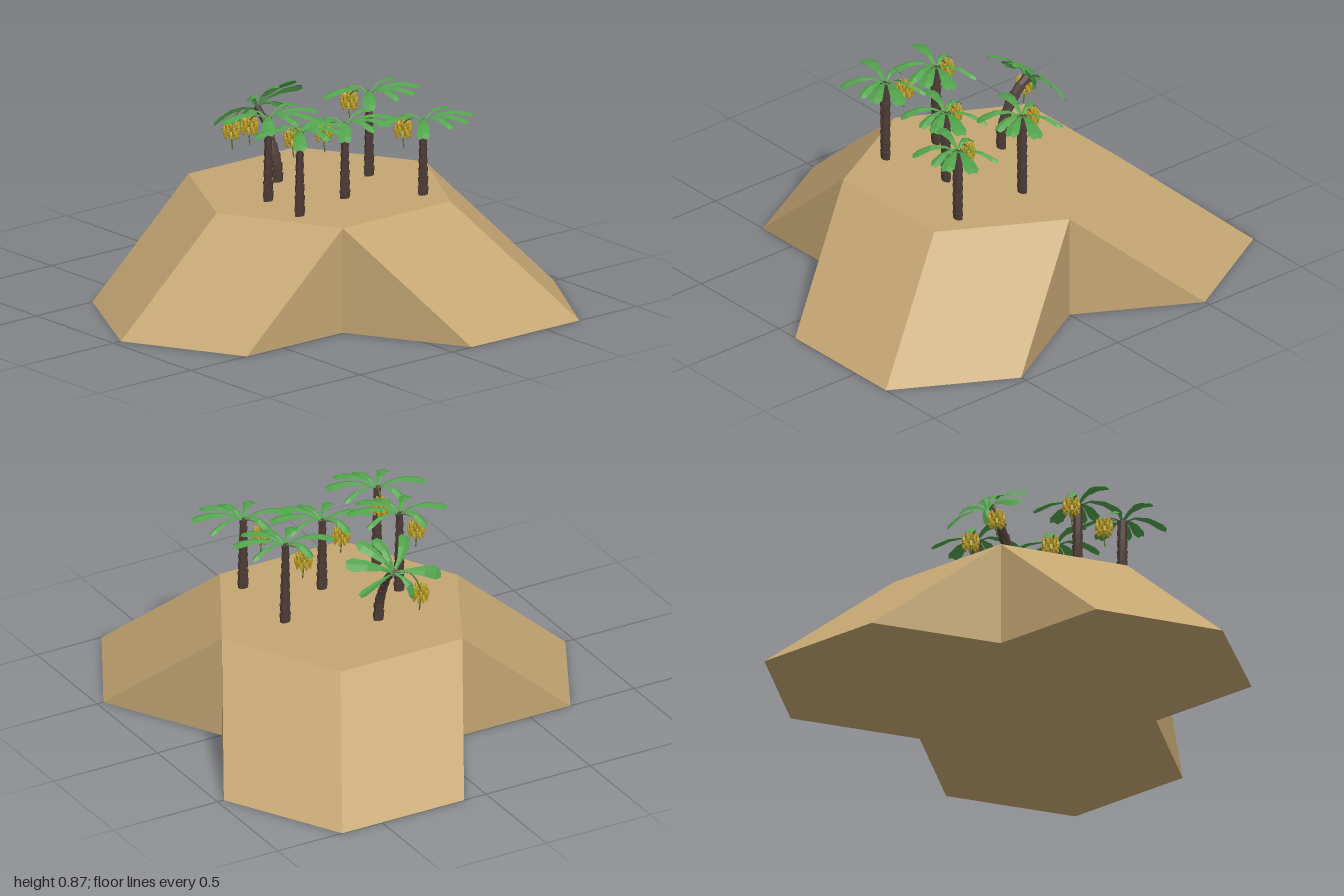
import * as THREE from 'three';
import { mergeGeometries } from 'three/addons/utils/BufferGeometryUtils.js';

const sand = new THREE.MeshStandardMaterial({ name: 'sand', color: 0xc4a672, flatShading: true });
const bark = new THREE.MeshStandardMaterial({ name: 'bark', color: 0x4f3d37, flatShading: true });
const leafGreen = new THREE.MeshStandardMaterial({ name: 'leafGreen', color: 0x52a34c, flatShading: true, side: THREE.DoubleSide });
const fruitYellow = new THREE.MeshStandardMaterial({ name: 'fruitYellow', color: 0xb89d26, flatShading: true });
const stemGreen = new THREE.MeshStandardMaterial({ name: 'stemGreen', color: 0x5d7030, flatShading: true });

const GROUND = 0.455;

function fromTriangles(points) {
  const g = new THREE.BufferGeometry().setFromPoints(points);
  g.computeVertexNormals();
  return g;
}

function addMesh(parent, geometry, material, name) {
  const mesh = new THREE.Mesh(geometry, material);
  mesh.name = name;
  parent.add(mesh);
  return mesh;
}

// Six-sided plateau with three sloping lobes
function islandGeometry() {
  const hex = [[0, 0.44], [0.5, 0.175], [0.5, -0.41], [0, -0.69], [-0.5, -0.41], [-0.5, 0.175]];
  const slopes = [[0, 0.52], [0.5, -0.28], [-0.5, -0.28]];
  const top = hex.map(([x, z]) => new THREE.Vector3(x, GROUND, z));
  const under = hex.map(([x, z]) => new THREE.Vector3(x, 0, z));
  const pts = [];
  const quad = (a, b, c, d) => pts.push(a, b, c, a, c, d);
  for (let i = 1; i < 5; i++) {
    pts.push(top[0], top[i], top[i + 1]);
    pts.push(under[0], under[i + 1], under[i]);
  }
  slopes.forEach(([dx, dz], k) => {
    const [p, m, q] = [(2 * k + 5) % 6, 2 * k, 2 * k + 1];
    const foot = i => new THREE.Vector3(hex[i][0] + dx, 0, hex[i][1] + dz);
    quad(foot(p), foot(m), top[m], top[p]);
    quad(foot(m), foot(q), top[q], top[m]);
    pts.push(under[p], foot(p), top[p], foot(q), under[q], top[q]);
    quad(under[p], under[m], foot(m), foot(p));
    quad(under[m], under[q], foot(q), foot(m));
  });
  return fromTriangles(pts);
}

// Arched blade with a raised midrib and a blunt end
function leafGeometry(x, z, width, tip) {
  const rows = [[0, 0.005, 0], [0.3, 0.012, 0.028], [0.6, 0.024, 0.035], [0.88, 0.031, 0.024], [1, 0.017, 0.012]];
  const length = Math.hypot(x, z);
  const sx = -z / length, sz = x / length;
  const sections = rows.map(([t, w, rise]) => {
    const y = rise + tip * t * t;
    return [-1, 0, 1].map(s => new THREE.Vector3(
      x * t + s * sx * w * width,
      y - Math.abs(s) * w * 0.35,
      z * t + s * sz * w * width));
  });
  const pts = [];
  for (let i = 0; i < sections.length - 1; i++) {
    const a = sections[i], b = sections[i + 1];
    for (let j = 0; j < 2; j++) pts.push(a[j], a[j + 1], b[j + 1], a[j], b[j + 1], b[j]);
  }
  return fromTriangles(pts);
}

// Stack of flared bark rings following a curve
function trunkGeometry(curve, count) {
  const up = new THREE.Vector3(0, 1, 0);
  const rings = [];
  for (let i = 0; i < count; i++) {
    const a = curve.getPointAt(i / count), b = curve.getPointAt((i + 1) / count);
    const dir = b.clone().sub(a);
    const r = 0.0185 - 0.003 * i / count;
    const g = new THREE.CylinderGeometry(r, r * 0.82, dir.length() * 1.15, 7);
    g.scale(1, 1, 1.45);
    g.rotateY(i * 0.1);
    g.applyQuaternion(new THREE.Quaternion().setFromUnitVectors(up, dir.normalize()));
    g.translate((a.x + b.x) / 2, (a.y + b.y) / 2, (a.z + b.z) / 2);
    rings.push(g);
  }
  return mergeGeometries(rings);
}

// Tiers of short upturned fruits around a core
function bunchGeometry() {
  const fruits = [];
  for (let tier = 0; tier < 3; tier++) {
    const count = 8;
    for (let i = 0; i < count; i++) {
      const g = new THREE.SphereGeometry(1, 5, 4);
      g.scale(0.009, 0.02, 0.009);
      g.rotateZ(0.3 - tier * 0.3);
      g.translate(tier === 1 ? 0.032 : 0.025, (tier - 1) * 0.017, 0);
      g.rotateY((i + tier * 0.5) / count * Math.PI * 2);
      fruits.push(g);
    }
  }
  return mergeGeometries(fruits);
}

const LEAVES = [ // x, z, width, tip height
  [-0.06, -0.19, 0.5, -0.005], [0.085, -0.2, 1, 0], [0.16, -0.115, 0.95, 0],
  [0.16, -0.03, 0.8, -0.01], [0.145, 0.12, 0.95, -0.03],
  [-0.055, 0.2, 1, -0.005], [-0.12, 0.06, 0.75, -0.03],
];
const leaves = mergeGeometries(LEAVES.map(l => leafGeometry(...l)));
const bunch = bunchGeometry();

function buildPalm(name, path, tilt, bunchOffset) {
  const palm = new THREE.Group();
  palm.name = name;
  const curve = new THREE.CatmullRomCurve3(path.map(p => new THREE.Vector3(...p)));
  const crown = path[path.length - 1];
  addMesh(palm, trunkGeometry(curve, 8), bark, 'trunk');

  const fronds = addMesh(palm, leaves, leafGreen, 'leaves');
  fronds.position.set(...crown);
  fronds.rotation.z = tilt;

  // Hanging fruit with its stalk
  const fruit = new THREE.Group();
  fruit.name = 'fruitCluster';
  fruit.position.set(...crown);
  palm.add(fruit);
  const [x, y, z] = bunchOffset;
  addMesh(fruit, bunch, fruitYellow, 'fruit').position.set(x, y, z);
  const stalk = new THREE.CatmullRomCurve3([
    new THREE.Vector3(0, 0, 0), new THREE.Vector3(x * 0.6, y * 0.1 + 0.01, z * 0.6),
    new THREE.Vector3(x, y + 0.02, z), new THREE.Vector3(x, y - 0.045, z),
    new THREE.Vector3(x + 0.006, y - 0.085, z)]);
  addMesh(fruit, new THREE.TubeGeometry(stalk, 12, 0.003, 4), stemGreen, 'stalk');
  return palm;
}

export function createModel() {
  const model = new THREE.Group();
  model.name = 'palmIsland';
  addMesh(model, islandGeometry(), sand, 'island');

  // Upright palms: x, z, crown height, fruit offset in z
  const palms = [
    [0, -0.385, 0.815, 0.04], [0.35, -0.385, 0.775, 0.04], [0.178, -0.105, 0.775, 0.045],
    [0.004, 0.165, 0.815, 0.035], [0.25, 0.2, 0.815, -0.03],
  ];
  for (const [x, z, h, fz] of palms) {
    const path = [[x, GROUND - 0.01, z], [x + 0.002, (GROUND + h) / 2, z], [x, h, z]];
    model.add(buildPalm('palm', path, 0, [-0.08, -0.045, fz]));
  }

  // Leaning palm
  const bent = [[-0.178, GROUND - 0.01, -0.04], [-0.18, 0.535, -0.038], [-0.22, 0.635, -0.038],
    [-0.27, 0.705, -0.042], [-0.315, 0.74, -0.045]];
  model.add(buildPalm('leaningPalm', bent, 0.8, [-0.06, -0.09, 0.09]));
  return model;
}
